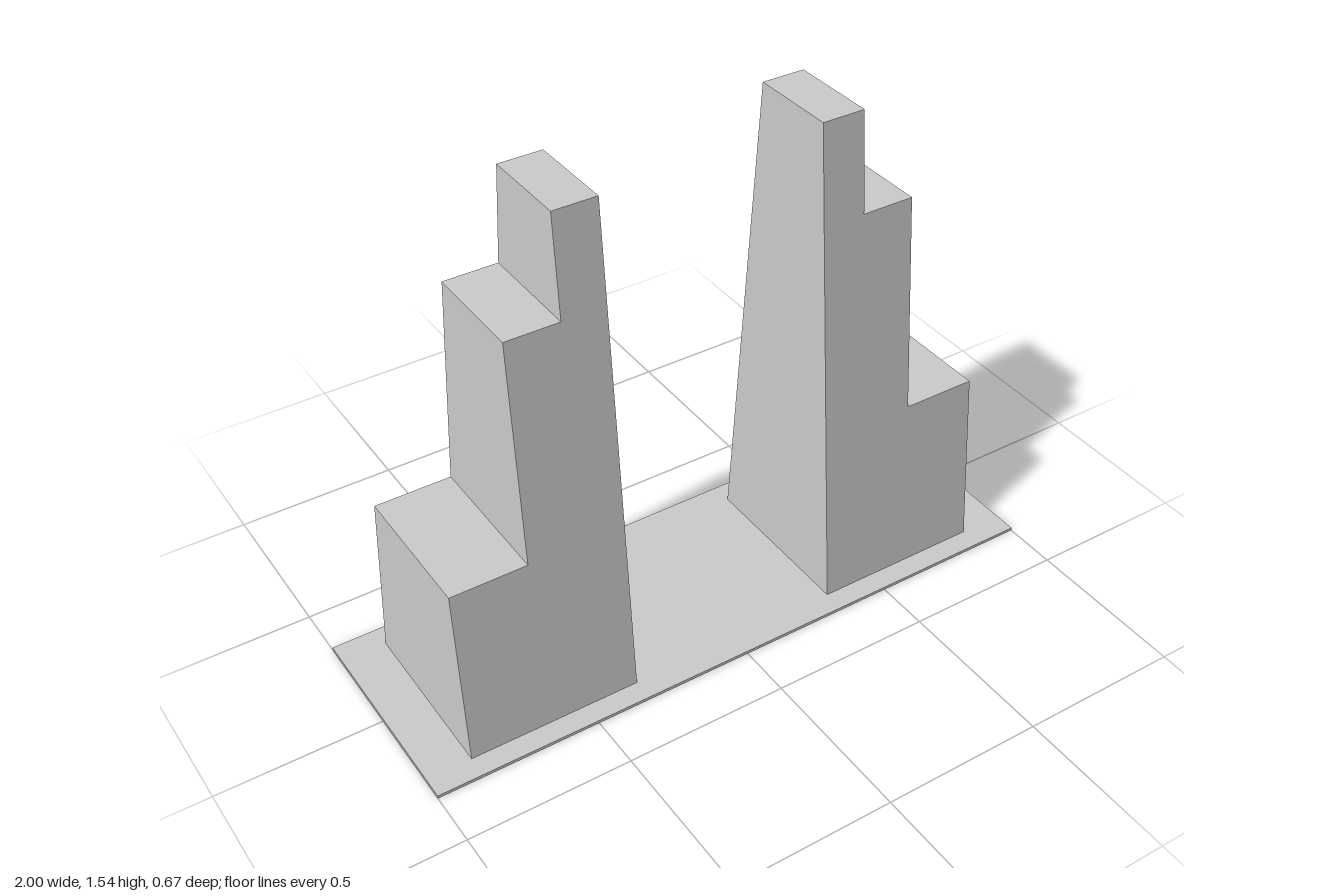
import * as THREE from 'three';

const PLATE = 0.01, TOP = 1.54;

// Stepped tower: staircase outline extruded along z, tapering in depth with height
function createTower(side) {
  const outline = [
    [0.335, PLATE], [0.863, PLATE], [0.863, 0.562], [0.631, 0.562],
    [0.631, 1.237], [0.468, 1.237], [0.468, TOP], [0.335, TOP],
  ];
  const shape = new THREE.Shape(outline.map(([x, y]) => new THREE.Vector2(side * x, y)));
  const geometry = new THREE.ExtrudeGeometry(shape, { depth: 2, bevelEnabled: false });
  geometry.translate(0, 0, -1);
  const pos = geometry.attributes.position;
  for (let i = 0; i < pos.count; i++) {
    const t = (pos.getY(i) - PLATE) / (TOP - PLATE);
    pos.setZ(i, pos.getZ(i) * THREE.MathUtils.lerp(0.266, 0.135, t));
  }
  geometry.computeVertexNormals();
  return geometry;
}

export function createModel() {
  const group = new THREE.Group();
  const material = new THREE.MeshStandardMaterial({ color: 0xcccccc, flatShading: true });

  // Thin ground plate
  const base = new THREE.Mesh(new THREE.BoxGeometry(2, PLATE, 0.667), material);
  base.position.y = PLATE / 2;
  base.name = 'basePlate';
  group.add(base);

  // Mirrored pair of towers, stepping down outwards
  for (const [name, side] of [['leftTower', 1], ['rightTower', -1]]) {
    const tower = new THREE.Mesh(createTower(side), material);
    tower.name = name;
    group.add(tower);
  }
  return group;
}
